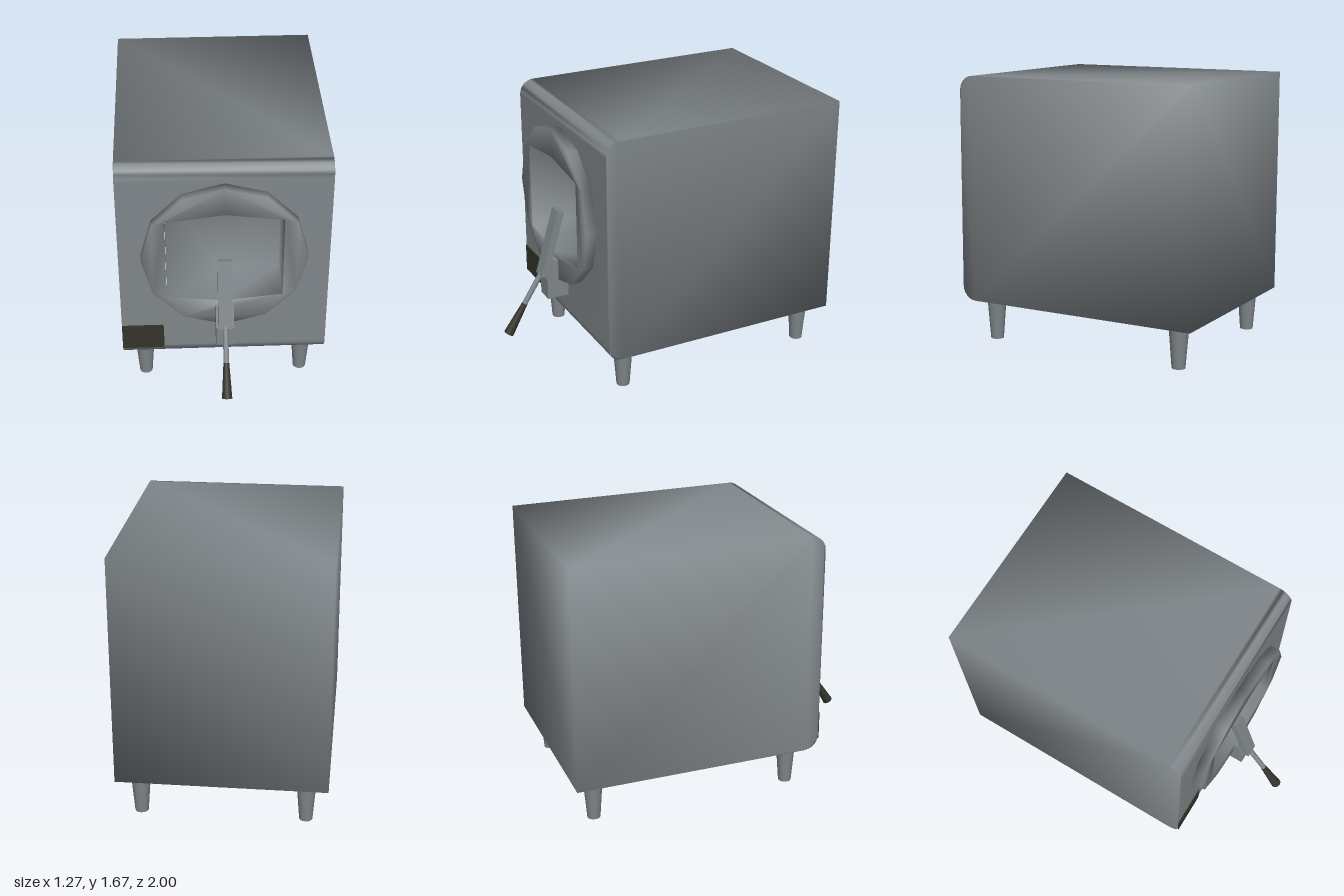
import * as THREE from 'three';
import { mergeGeometries, mergeVertices } from 'three/addons/utils/BufferGeometryUtils.js';

const steel = new THREE.MeshStandardMaterial({ color: 0x80868a });
steel.name = 'steel grey';
const dark = new THREE.MeshStandardMaterial({ color: 0x34342b });
dark.name = 'dark olive';

const V = (x, y, z) => new THREE.Vector3(x, y, z);
const toShape = (pts) => new THREE.Shape(pts.map(([a, b]) => new THREE.Vector2(a, b)));
const toPath = (pts) => new THREE.Path(pts.map(([a, b]) => new THREE.Vector2(a, b)));

// Weld corners so that normals run smoothly over the whole part
function smooth(geometry) {
  geometry.deleteAttribute('normal');
  geometry.deleteAttribute('uv');
  const welded = mergeVertices(geometry, 1e-4);
  welded.computeVertexNormals();
  return welded;
}

// Ribbon of quads between two matching lines of points
function ribbon(upper, lower) {
  const g = new THREE.PlaneGeometry(1, 1, upper.length - 1, 1);
  [...upper, ...lower].forEach((p, i) => g.attributes.position.setXYZ(i, p.x, p.y, p.z));
  return g;
}

// Round tapered rod between two points
function rod(a, b, ra, rb, material, name) {
  const m = new THREE.Mesh(new THREE.CylinderGeometry(rb, ra, a.distanceTo(b), 14), material);
  m.position.copy(a).lerp(b, 0.5);
  m.quaternion.setFromUnitVectors(V(0, 1, 0), b.clone().sub(a).normalize());
  m.name = name;
  return m;
}

export function createModel() {
  const model = new THREE.Group();
  model.name = 'machine';
  const add = (geometry, material, name) => {
    const m = new THREE.Mesh(geometry, material);
    m.name = name;
    model.add(m);
    return m;
  };

  const W = 0.635, Y0 = 0.26, Y1 = 1.67, ZF = 0.58, ZB = -1, R = 0.09;
  const doorY = 1.06, doorZ = 0.645, cavityZ = 0.35;

  // Opening outline, clockwise from the lower left
  const opening = [[-0.35, -0.275], [-0.35, 0.275], [0, 0.32], [0.35, 0.275], [0.35, -0.275], [0, -0.315]]
    .map(([x, y]) => [x, y + doorY]);
  const wider = opening.map(([x, y]) => [x * 1.006, doorY + (y - doorY) * 1.006]);

  // Body: side profile (z, y) with rounded front edges
  const profile = [];
  for (let i = 0; i <= 6; i++) {
    const a = (i / 6) * Math.PI / 2;
    profile.push([ZF - R + R * Math.cos(a), Y0 + R - R * Math.sin(a)]);
  }
  profile.push([ZB, Y0], [ZB, Y1]);
  for (let i = 6; i >= 0; i--) {
    const a = (i / 6) * Math.PI / 2;
    profile.push([ZF - R + R * Math.cos(a), Y1 - R + R * Math.sin(a)]);
  }
  const shell = ribbon(profile.map(([z, y]) => V(W, y, z)), profile.map(([z, y]) => V(-W, y, z)));
  const leftSide = new THREE.ShapeGeometry(toShape(profile.map(([z, y]) => [-z, y])));
  leftSide.rotateY(Math.PI / 2).translate(W, 0, 0);
  const rightSide = new THREE.ShapeGeometry(toShape(profile));
  rightSide.rotateY(-Math.PI / 2).translate(-W, 0, 0);
  const frontShape = toShape([[-W, Y0 + R], [W, Y0 + R], [W, Y1 - R], [-W, Y1 - R]]);
  frontShape.holes.push(toPath(wider));
  const front = new THREE.ShapeGeometry(frontShape).translate(0, 0, ZF);
  add(smooth(mergeGeometries([shell, leftSide, rightSide, front])), steel, 'body');

  // Twelve-sided door ring
  const ring = [];
  for (let i = 0; i < 12; i++) {
    const a = i * Math.PI / 6;
    ring.push([0.5 * Math.cos(a), doorY + 0.5 * Math.sin(a)]);
  }
  const ringShape = toShape(ring);
  ringShape.holes.push(toPath(wider));
  const ringGeo = new THREE.ExtrudeGeometry(ringShape, { depth: doorZ - ZF, bevelEnabled: false });
  add(smooth(ringGeo.translate(0, 0, ZF)), steel, 'doorRing');

  // Recess behind the opening
  const loop = [...opening, opening[0]];
  const walls = ribbon(loop.map(([x, y]) => V(x, y, doorZ)), loop.map(([x, y]) => V(x, y, cavityZ)));
  const back = new THREE.ShapeGeometry(toShape(opening)).translate(0, 0, cavityZ);
  add(smooth(mergeGeometries([walls, back])), steel, 'chamber');

  // Bracket that carries the lever
  const bracket = new THREE.ExtrudeGeometry(
    toShape([[-ZF, 0.455], [-ZF, 0.71], [-0.67, 0.71], [-0.72, 0.585], [-0.72, 0.455]]),
    { depth: 0.11, bevelEnabled: false });
  add(bracket.rotateY(Math.PI / 2).translate(-0.055, 0, 0), steel, 'bracket');

  // Lever bar, rod and grip
  const bar = add(new THREE.BoxGeometry(0.085, 0.44, 0.045), steel, 'leverBar');
  bar.position.set(0, 0.815, 0.672);
  bar.rotation.x = -Math.atan2(0.125, 0.43);
  model.add(rod(V(0, 0.63, 0.73), V(0, 0.42, 0.865), 0.017, 0.017, steel, 'leverRod'));
  model.add(rod(V(0, 0.43, 0.858), V(0, 0.245, 0.974), 0.018, 0.032, dark, 'grip'));

  // Plate on the lower front corner
  const plate = toShape([[-W, 0.33], [-0.385, 0.33], [-0.375, 0.34], [-0.375, 0.5],
    [-0.385, 0.51], [-W, 0.51]]);
  add(new THREE.ExtrudeGeometry(plate, { depth: 0.005, bevelEnabled: false }).translate(0, 0, ZF),
    dark, 'plate');

  // Four tapered legs
  for (const x of [-0.5, 0.5]) {
    for (const z of [0.42, -0.865]) {
      model.add(rod(V(x, 0, z), V(x, Y0 + 0.01, z), 0.041, 0.062, steel, 'leg'));
    }
  }
  return model;
}
